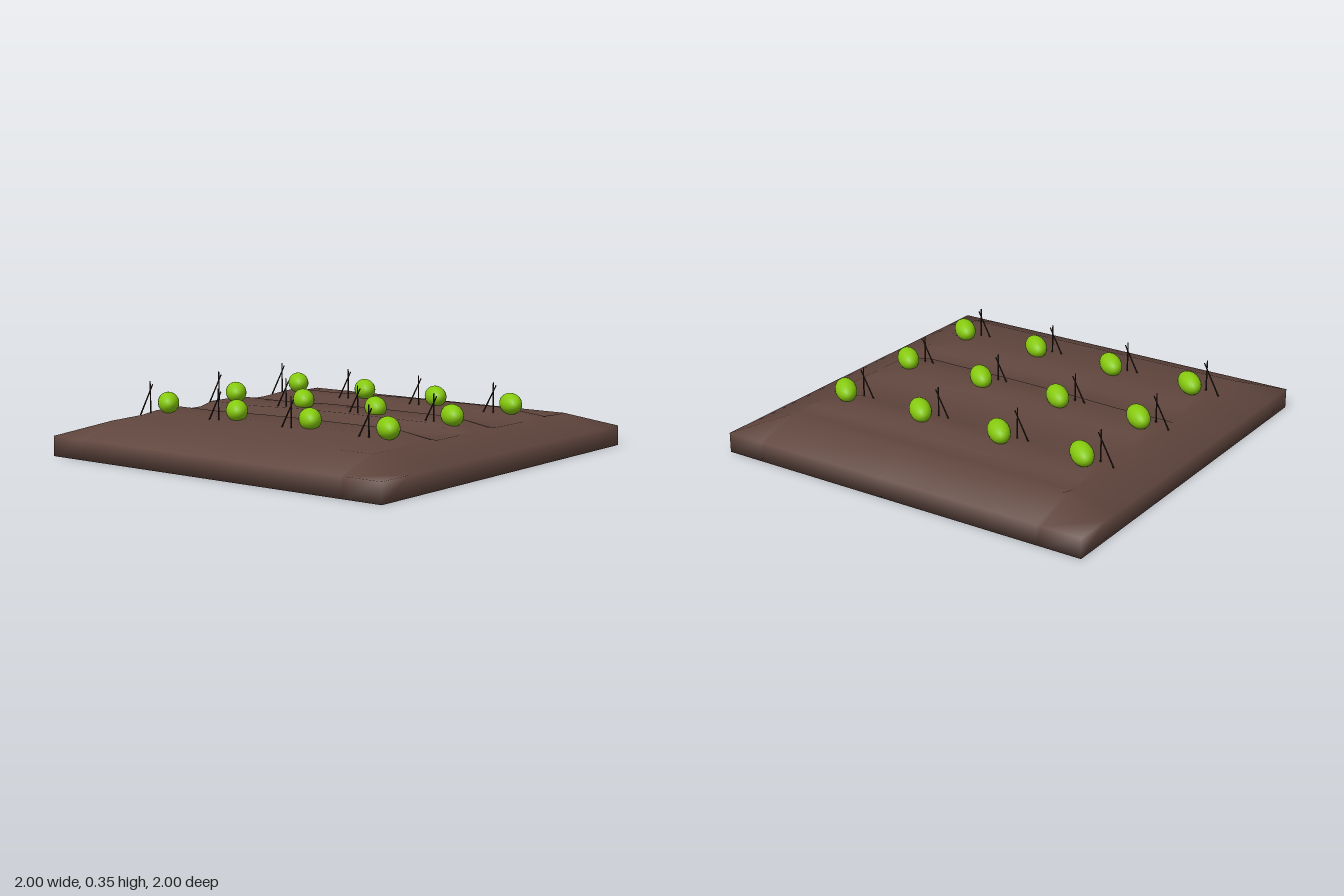
import * as THREE from 'three';
import { mergeVertices } from 'three/addons/utils/BufferGeometryUtils.js';

const soilMat = new THREE.MeshStandardMaterial({ color: 0x5f453d });
const fruitMat = new THREE.MeshStandardMaterial({ color: 0x86c90f });
const stickMat = new THREE.MeshStandardMaterial({ color: 0x33231f });

// Cross-section of the bed: [z, ground height, extra height of the ridge]
const SECTION = [
  [-1, 0.1, 0], [-0.8, 0.17, 0], [-0.72, 0.158, 0], [-0.64, 0.17, 0],
  [-0.57, 0.17, 0.035], [-0.45, 0.17, 0.025], [-0.35, 0.168, 0], [-0.17, 0.168, 0],
  [-0.12, 0.17, 0.04], [0, 0.17, 0.04], [0.11, 0.17, 0.04], [0.16, 0.168, 0],
  [0.31, 0.168, 0], [0.35, 0.17, 0.036], [0.52, 0.17, 0.035], [0.62, 0.17, 0.017],
  [0.8, 0.17, 0], [1, 0.1, 0],
];
// Stations along the rows: [x, strength of the ridge]
const STATIONS = [
  [-1, 0], [-0.8, 0], [-0.77, 0.65], [-0.5, 0.65], [-0.2, 0.9],
  [0.1, 1], [0.6, 1], [0.78, 0.2], [0.8, 0], [1, 0],
];

// Soil bed: a box grid whose lines are moved to the stations and section
function makeSoil() {
  const nx = STATIONS.length - 1, nz = SECTION.length - 1;
  let geo = new THREE.BoxGeometry(2, 0.1, 2, nx, 1, nz);
  geo.deleteAttribute('normal');
  geo.deleteAttribute('uv');
  geo = mergeVertices(geo);
  const p = geo.attributes.position;
  for (let i = 0; i < p.count; i++) {
    const [x, strength] = STATIONS[Math.round((p.getX(i) + 1) / 2 * nx)];
    const [z, ground, ridge] = SECTION[Math.round((p.getZ(i) + 1) / 2 * nz)];
    const base = Math.abs(x) === 1 ? 0.1 : Math.abs(x) >= 0.8 && Math.abs(z) < 1 ? 0.17 : ground;
    p.setXYZ(i, x, p.getY(i) > 0 ? base + ridge * strength : 0, z);
  }
  geo.computeVertexNormals();
  const soil = new THREE.Mesh(geo, soilMat);
  soil.name = 'soilBed';
  return soil;
}

// Thin stick between two points
function makeStick(name, from, to) {
  const a = new THREE.Vector3(...from), b = new THREE.Vector3(...to);
  const dir = b.clone().sub(a);
  const stick = new THREE.Mesh(new THREE.CylinderGeometry(0.003, 0.004, dir.length(), 6), stickMat);
  stick.name = name;
  stick.position.copy(a).add(b).multiplyScalar(0.5);
  stick.quaternion.setFromUnitVectors(new THREE.Vector3(0, 1, 0), dir.normalize());
  return stick;
}

// One melon with its pair of support sticks
function makePlant() {
  const plant = new THREE.Group();
  plant.name = 'plant';
  const melon = new THREE.Mesh(new THREE.SphereGeometry(1, 24, 16), fruitMat);
  melon.name = 'melon';
  melon.scale.set(0.096, 0.053, 0.053);
  melon.rotation.y = -0.74;
  melon.position.y = 0.236;
  plant.add(
    melon,
    makeStick('uprightStick', [-0.06, 0.17, 0.065], [-0.06, 0.345, 0.067]),
    makeStick('leaningStick', [-0.128, 0.17, 0.069], [-0.046, 0.33, 0.064]),
  );
  return plant;
}

export function createModel() {
  const model = new THREE.Group();
  model.name = 'melonPatch';
  model.add(makeSoil());
  for (const z of [-0.51, 0, 0.507]) {
    for (let i = 0; i < 4; i++) {
      const plant = makePlant();
      plant.position.set(-0.7 + i * 0.455, 0, z - 0.003);
      model.add(plant);
    }
  }
  return model;
}
